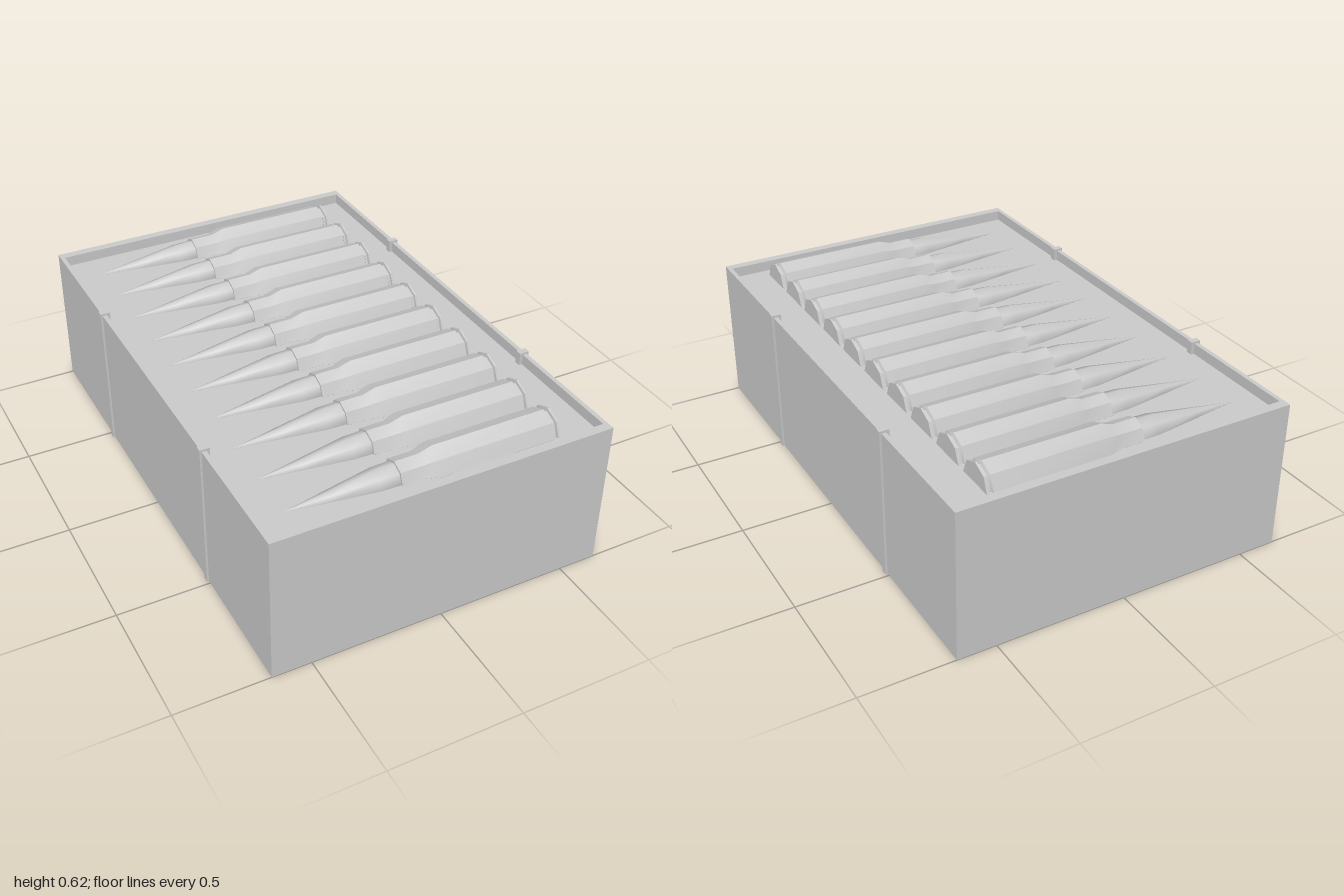
import * as THREE from 'three';
import { toCreasedNormals } from 'three/addons/utils/BufferGeometryUtils.js';

const material = new THREE.MeshStandardMaterial({ color: 0xcccccc });

const W = 0.647, D = 1, H = 0.578; // half width, half depth, height
const INNER_W = 0.63, INNER_D = 0.965;
const FLOOR = 0.537; // cartridge axes lie in the tray surface

// Mesh of a box given by its minimum and maximum corners
function block(name, [x0, y0, z0], [x1, y1, z1]) {
  const geometry = new THREE.BoxGeometry(x1 - x0, y1 - y0, z1 - z0);
  geometry.translate((x0 + x1) / 2, (y0 + y1) / 2, (z0 + z1) / 2);
  const mesh = new THREE.Mesh(geometry, material);
  mesh.name = name;
  return mesh;
}

// Eight-sided turned part along x, from [x, radius] pairs
function turned(profile, crease) {
  const points = profile.map(([x, r]) => new THREE.Vector2(r, x));
  const geometry = new THREE.LatheGeometry(points, 8);
  geometry.rotateZ(-Math.PI / 2);
  return toCreasedNormals(geometry, crease);
}

export function createModel() {
  const model = new THREE.Group();
  model.name = 'cartridgeBox';

  // Outer shell with a raised rim around the tray
  const shape = new THREE.Shape([
    new THREE.Vector2(-W, -D), new THREE.Vector2(W, -D),
    new THREE.Vector2(W, D), new THREE.Vector2(-W, D),
  ]);
  shape.holes.push(new THREE.Path([
    new THREE.Vector2(-INNER_W, -INNER_D), new THREE.Vector2(-INNER_W, INNER_D),
    new THREE.Vector2(INNER_W, INNER_D), new THREE.Vector2(INNER_W, -INNER_D),
  ]));
  const shellGeometry = new THREE.ExtrudeGeometry(shape, { depth: H, bevelEnabled: false });
  shellGeometry.rotateX(-Math.PI / 2);
  const shell = new THREE.Mesh(shellGeometry, material);
  shell.name = 'boxWalls';
  model.add(shell);
  model.add(block('tray', [-INNER_W, 0, -INNER_D], [INNER_W, FLOOR, INNER_D]));

  // Straps hooked over the side walls
  for (const side of [-1, 1]) {
    for (const z of [-0.477, 0.477]) {
      const strap = new THREE.Group();
      strap.name = side > 0 ? 'leftStrap' : 'rightStrap';
      strap.add(
        block('strapBand', [W, 0, -0.012], [0.655, H, 0.012]),
        block('strapHook', [0.617, H, -0.012], [0.655, 0.586, 0.012]),
        block('strapLip', [0.617, FLOOR, -0.012], [INNER_W, H, 0.012]),
      );
      strap.position.z = z;
      if (side < 0) strap.rotation.y = Math.PI;
      model.add(strap);
    }
  }

  // Cartridges half sunk in the tray
  const bulletGeometry = turned([
    [-0.53, 0], [-0.36, 0.026], [-0.19, 0.051], [-0.11, 0.053],
  ], 1);
  const caseGeometry = turned([
    [-0.12, 0.05], [-0.12, 0.061], [-0.03, 0.061], [0.02, 0.0775], [0.465, 0.0775],
    [0.471, 0.066], [0.48, 0.066], [0.482, 0.0775], [0.489, 0.0775], [0.489, 0],
  ], 0.5);
  for (let i = 0; i < 10; i++) {
    const cartridge = new THREE.Group();
    cartridge.name = 'cartridge';
    const bullet = new THREE.Mesh(bulletGeometry, material);
    bullet.name = 'bulletTip';
    const casing = new THREE.Mesh(caseGeometry, material);
    casing.name = 'casing';
    cartridge.add(bullet, casing);
    cartridge.position.set(0, FLOOR + 0.0005, -0.837 + i * 0.1867);
    model.add(cartridge);
  }
  return model;
}
